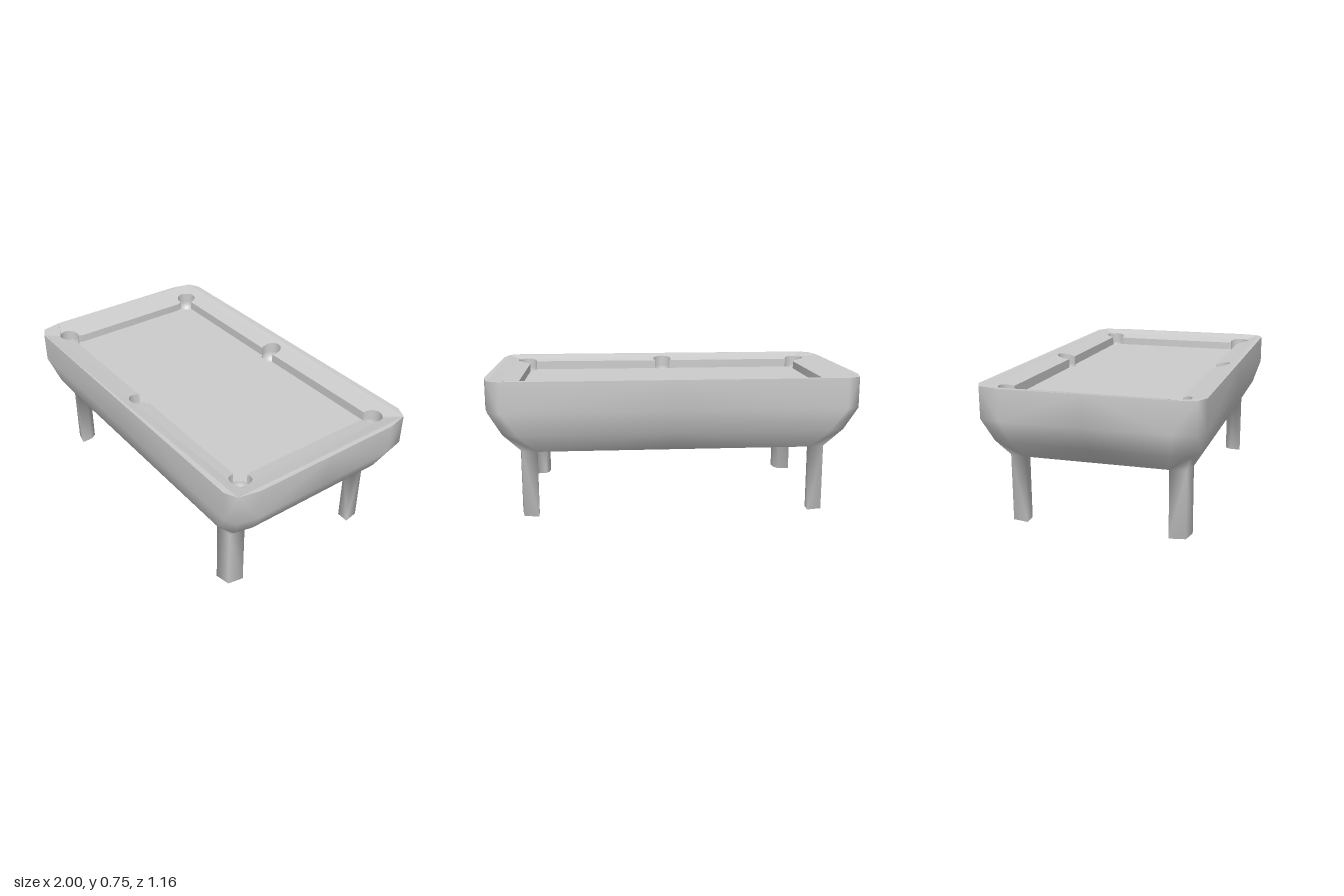
import * as THREE from 'three';
import { mergeVertices, toCreasedNormals } from 'three/addons/utils/BufferGeometryUtils.js';

const grey = new THREE.MeshStandardMaterial({ color: 0xcccccc });
const greyTwoSided = new THREE.MeshStandardMaterial({ color: 0xcccccc, side: THREE.DoubleSide });

const TOP = 0.75, BED = 0.67, BASE = 0.36, POCKET_R = 0.056;
const QUADRANTS = [[1, 1], [-1, 1], [-1, -1], [1, -1]];

// Chamfered corner of the cabinet at each height, as [x, z] for the +x +z quadrant
const rimCorner = [[1, 0.43], [0.975, 0.545], [0.91, 0.578]];
const baseCorner = [[0.83, 0.38], [0.815, 0.465], [0.735, 0.482]];
const sections = [
  [BASE, baseCorner],
  [0.46, [[0.93, 0.41], [0.91, 0.505], [0.83, 0.54]]],
  [0.585, rimCorner],
  [TOP, rimCorner],
];
// Inner side of a leg, continuing round from the corner points
const legInner = [[0.737, 0.42], [0.76, 0.383]];

// Points mirrored into a quadrant, keeping the turn from +x towards +z
function mirrored(points, [sx, sz]) {
  const pts = points.map(([x, z]) => [x * sx, z * sz]);
  return sx * sz < 0 ? pts.reverse() : pts;
}

// Full loop of corners with a point at the middle of each side
function loop(corner) {
  const X = corner[0][0], Z = corner[2][1];
  const middles = [[0, Z], [-X, 0], [0, -Z], [X, 0]];
  return QUADRANTS.flatMap((q, i) => [...mirrored(corner, q), middles[i]]);
}

const atHeight = (pts, y) => pts.map(([x, z]) => [x, y, z]);

// Band between two loops of equal length, diagonals alternating to stay symmetric
function band(out, low, high) {
  low.forEach((a, i) => {
    const j = (i + 1) % low.length, b = low[j], c = high[j], d = high[i];
    if (i % 2) out.push(...a, ...d, ...b, ...d, ...c, ...b);
    else out.push(...a, ...d, ...c, ...a, ...c, ...b);
  });
}

// Downward-facing flat polygon
function floor(out, pts, y) {
  const contour = pts.map(([x, z]) => new THREE.Vector2(x, z));
  for (const tri of THREE.ShapeUtils.triangulateShape(contour, [])) {
    for (const k of tri) out.push(pts[k][0], y, pts[k][1]);
  }
}

function fromTriangles(positions) {
  const g = new THREE.BufferGeometry();
  g.setAttribute('position', new THREE.Float32BufferAttribute(positions, 3));
  return g;
}

// The rail top slopes gently down from the outer edge towards the bed
function railHeight(x, z) {
  const inset = Math.min(1 - Math.abs(x), 0.578 - Math.abs(z));
  return inset < 0.035 ? TOP : TOP - 0.21 * inset;
}

// Pockets in order round the table: centre and the angles where the rails meet them
const deg = Math.PI / 180;
const half = [
  { x: 0.855, y: 0.437, from: -106, to: 180 },
  { x: 0, y: 0.465, from: -33, to: 213 },
  { x: -0.855, y: 0.437, from: 0, to: 286 },
];
const pockets = [
  ...half,
  ...half.map(p => ({ x: -p.x, y: -p.y, from: p.from + 180, to: p.to + 180 })),
];

// Outline of the playing area; arcs bulge outward for the rail, inward for the bed
function playOutline(inward) {
  const pts = [], n = 28;
  pockets.forEach((p, k) => {
    const start = inward ? p.from + 360 : p.from;
    for (let i = 0; i <= n; i++) {
      const a = (start + (p.to - start) * i / n) * deg;
      const y = p.y + POCKET_R * Math.sin(a);
      // Side pockets have a flat front lip
      const lip = p.x === 0 ? Math.sign(y) * Math.max(Math.abs(y), 0.417) : y;
      pts.push(new THREE.Vector2(p.x + POCKET_R * Math.cos(a), lip));
    }
    // Short rails flare back at the corner pockets
    if (k % 3 === 2) {
      const s = Math.sign(p.x);
      pts.push(new THREE.Vector2(s * 0.832, -s * 0.35), new THREE.Vector2(s * 0.832, s * 0.35));
      if (s < 0) pts.push(...pts.splice(-2).reverse().map(v => v.set(v.x, -v.y)).reverse());
      const [u, v] = pts.slice(-2);
      u.y = Math.sign(p.y) * 0.35;
      v.y = -u.y;
    }
  });
  return pts;
}

export function createModel() {
  const table = new THREE.Group();
  table.name = 'poolTable';
  const add = (name, geometry, material = grey) => {
    const mesh = new THREE.Mesh(geometry, material);
    mesh.name = name;
    table.add(mesh);
    return mesh;
  };

  // Cabinet sides and underside, with the legs growing out of its corners
  const tris = [];
  for (let i = 0; i < sections.length - 1; i++) {
    const [y0, c0] = sections[i], [y1, c1] = sections[i + 1];
    band(tris, atHeight(loop(c0), y0), atHeight(loop(c1), y1));
  }
  const baseLoop = loop(baseCorner);
  const underside = QUADRANTS.flatMap((q, i) => {
    const [first, , last, middle] = baseLoop.slice(i * 4, i * 4 + 4);
    return [first, ...mirrored(legInner, q).reverse(), last, middle];
  });
  floor(tris, underside, BASE);
  const ends = [tris.length / 3];
  for (const q of QUADRANTS) {
    const outline = mirrored([...baseCorner, ...legInner], q);
    band(tris, atHeight(outline, 0), atHeight(outline, BASE));
    floor(tris, outline, 0);
    ends.push(tris.length / 3);
  }

  // Shared normals keep the legs blending smoothly into the cabinet
  const shell = mergeVertices(fromTriangles(tris));
  shell.computeVertexNormals();
  const index = Array.from(shell.index.array);
  const names = ['cabinet', 'frontLeftLeg', 'frontRightLeg', 'backRightLeg', 'backLeftLeg'];
  names.forEach((name, i) => {
    const part = shell.clone();
    part.setIndex(index.slice(i ? ends[i - 1] : 0, ends[i]));
    add(name, part);
  });

  // Sloping rail frame with the playing area and pockets cut out
  const opening = playOutline(false);
  const frame = new THREE.Shape(loop(rimCorner).map(([x, z]) => new THREE.Vector2(x, z)));
  frame.holes.push(new THREE.Path(opening));
  const rail = new THREE.ShapeGeometry(frame).rotateX(-Math.PI / 2);
  const pos = rail.attributes.position;
  for (let i = 0; i < pos.count; i++) pos.setY(i, railHeight(pos.getX(i), pos.getZ(i)));
  add('railTop', toCreasedNormals(rail, 0.1));

  // Cushion faces, turned towards the bed
  const cushion = [];
  band(cushion,
    opening.map(p => [p.x, BED, -p.y]),
    opening.map(p => [p.x, railHeight(p.x, p.y), -p.y]));
  add('cushions', toCreasedNormals(fromTriangles(cushion), 0.6), greyTwoSided);

  // Playing bed, notched by the pockets
  const bed = new THREE.Shape(playOutline(true));
  add('bed', new THREE.ShapeGeometry(bed).rotateX(-Math.PI / 2)).position.y = BED;

  // Round-bottomed pocket cups
  const profile = [];
  for (let i = 0; i <= 8; i++) {
    const a = i / 8 * Math.PI / 2;
    profile.push(new THREE.Vector2(POCKET_R * Math.sin(a), -POCKET_R * Math.cos(a)));
  }
  const cup = new THREE.LatheGeometry(profile, 32);
  pockets.forEach(p => add('pocket', cup, greyTwoSided).position.set(p.x, BED, -p.y));

  return table;
}
